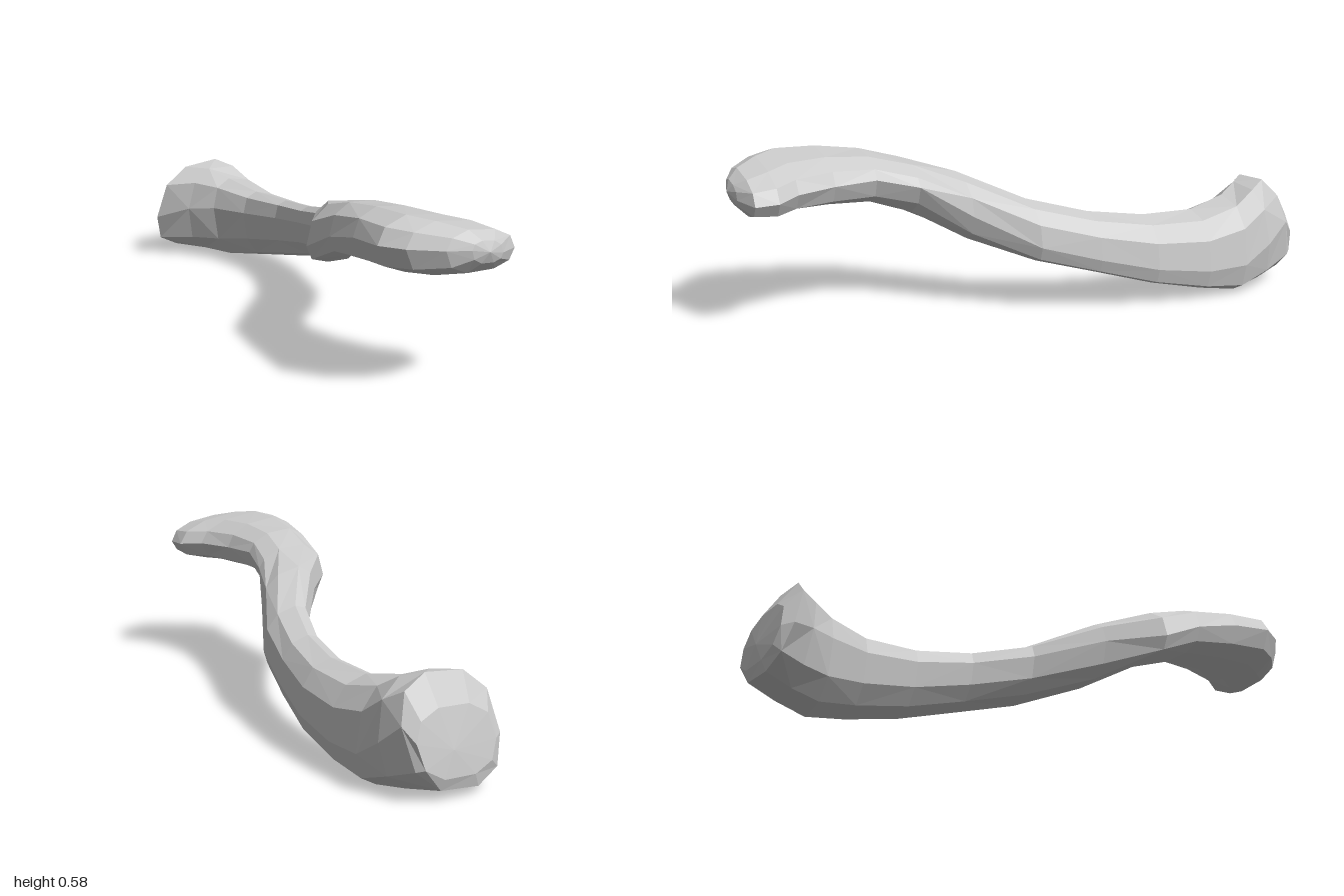
import * as THREE from 'three';

const SIDES = 10;

// Cross-sections along the bone: z, xMin, xMax, yMin, yMax, skew, lean, cut
// skew slants the oval inside its box; lean shifts z with height;
// cut lowers the upper +x shoulder
const SECTIONS = [
  [-0.98, 0.01, 0.31, 0.07, 0.29, 0.1, 0.02, 0],
  [-0.945, -0.03, 0.335, 0.025, 0.385, 0.15, 0.045, 0],
  [-0.85, 0.055, 0.355, 0.015, 0.37, -0.05, 0.02, 0],
  [-0.75, 0.11, 0.36, 0.0, 0.335, -0.25, 0, 0],
  [-0.6, 0.15, 0.355, 0.03, 0.305, -0.35, 0, 0],
  [-0.4, 0.155, 0.33, 0.075, 0.31, -0.4, 0, 0],
  [-0.2, 0.11, 0.275, 0.13, 0.335, -0.4, 0, 0],
  [0, 0.02, 0.21, 0.18, 0.385, -0.35, 0, 0.1],
  [0.2, -0.14, 0.09, 0.25, 0.475, -0.1, 0, 0.35],
  [0.36, -0.29, 0.0, 0.325, 0.53, 0.3, 0, 0.5],
  [0.5, -0.31, -0.045, 0.38, 0.56, 0.1, 0, 0.4],
  [0.65, -0.34, -0.04, 0.39, 0.577, -0.05, 0, 0.4],
  [0.79, -0.365, 0.0, 0.395, 0.58, -0.1, 0, 0.5],
  [0.87, -0.325, 0.05, 0.395, 0.57, -0.15, 0, 0.5],
  [0.95, -0.24, 0.045, 0.41, 0.55, -0.2, 0, 0.4],
  [0.985, -0.17, -0.04, 0.445, 0.52, -0.3, 0, 0.2],
];

// Slightly squared oval
const full = (v) => Math.sign(v) * Math.pow(Math.abs(v), 0.8);

function loft(sections) {
  const pos = [];
  const index = [];
  sections.forEach(([z, x0, x1, y0, y1, skew, lean, cut]) => {
    for (let j = 0; j < SIDES; j++) {
      const t = (j / SIDES) * Math.PI * 2;
      const w = full(Math.cos(t));
      let h = full(Math.sin(t + skew));
      if (h > 0) h *= 1 - cut * Math.max(0, w);
      pos.push((x0 + x1) / 2 + ((x1 - x0) / 2) * w,
        (y0 + y1) / 2 + ((y1 - y0) / 2) * h, z + lean * h);
    }
  });
  for (let i = 0; i < sections.length - 1; i++) {
    for (let j = 0; j < SIDES; j++) {
      const a = i * SIDES + j;
      const b = i * SIDES + ((j + 1) % SIDES);
      const c = a + SIDES;
      const d = b + SIDES;
      // Alternate the diagonal for a hand-cut faceted look
      if ((i + j) % 2) index.push(a, b, d, a, d, c);
      else index.push(a, b, c, b, d, c);
    }
  }
  // Blunt end caps
  const back = pos.length / 3;
  pos.push(0.18, 0.16, -0.99);
  pos.push(-0.11, 0.485, 1);
  const last = (sections.length - 1) * SIDES;
  for (let j = 0; j < SIDES; j++) {
    const k = (j + 1) % SIDES;
    index.push(back, k, j, back + 1, last + j, last + k);
  }
  const geo = new THREE.BufferGeometry();
  geo.setAttribute('position', new THREE.Float32BufferAttribute(pos, 3));
  geo.setIndex(index);
  geo.computeVertexNormals();
  return geo;
}

export function createModel() {
  const group = new THREE.Group();
  group.name = 'collarbone';
  const material = new THREE.MeshStandardMaterial({ color: 0xcccccc, flatShading: true });

  // S-curved bone with a flared joint end and a flattened shoulder end
  const bone = new THREE.Mesh(loft(SECTIONS), material);
  bone.name = 'boneShaft';
  group.add(bone);
  return group;
}
